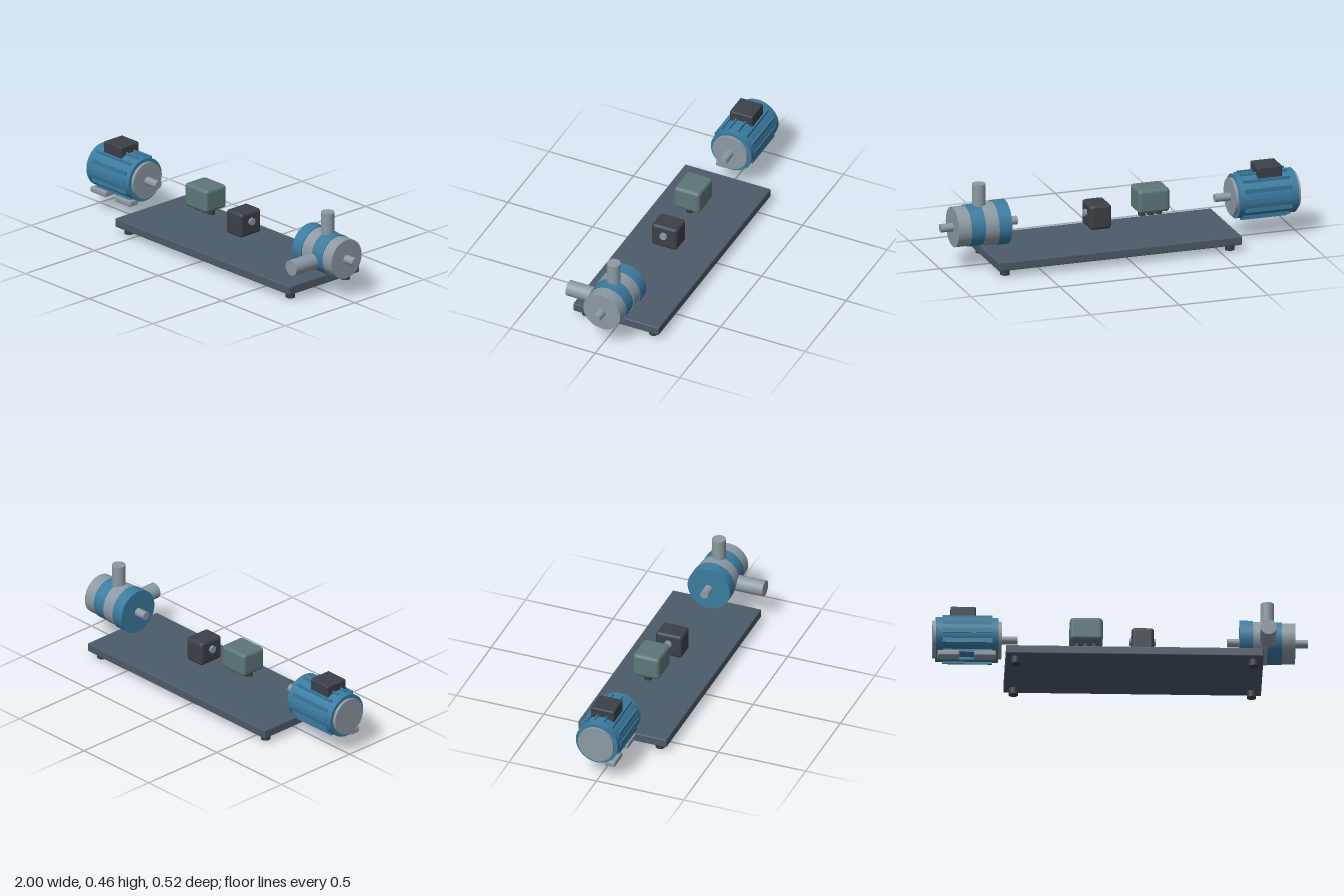
import * as THREE from 'three';
import { RoundedBoxGeometry } from 'three/addons/geometries/RoundedBoxGeometry.js';

const paint = (color) => new THREE.MeshStandardMaterial({ color });
const AXIS_Y = 0.228, AXIS_Z = -0.005;

export function createModel() {
  const model = new THREE.Group();
  const blue = paint(0x3a7ca0), steel = paint(0x8d9aa3), slate = paint(0x4d5a68);
  const dark = paint(0x3b4148), teal = paint(0x5e7779);

  const group = (name) => {
    const g = new THREE.Group();
    g.name = name;
    model.add(g);
    return g;
  };
  const add = (parent, name, geometry, material, x, y, z) => {
    const mesh = new THREE.Mesh(geometry, material);
    mesh.name = name;
    mesh.position.set(x, y, z);
    parent.add(mesh);
    return mesh;
  };
  // Rounded box given by its extents
  const box = (parent, name, mat, [x0, x1], [y0, y1], [z0, z1], r) =>
    add(parent, name, new RoundedBoxGeometry(x1 - x0, y1 - y0, z1 - z0, 3, r), mat,
      (x0 + x1) / 2, (y0 + y1) / 2, (z0 + z1) / 2);
  // Cylinder along the drive axis, from x0 to x1
  const discX = (parent, name, mat, r, x0, x1, z = AXIS_Z) => {
    const m = add(parent, name, new THREE.CylinderGeometry(r, r, x1 - x0, 48), mat, (x0 + x1) / 2, AXIS_Y, z);
    m.rotation.z = Math.PI / 2;
  };
  // Upright cylinder from y0 to y1
  const postY = (parent, name, mat, r, x, y0, y1, z) =>
    add(parent, name, new THREE.CylinderGeometry(r, r, y1 - y0, 32), mat, x, (y0 + y1) / 2, z);

  // Base plate on four short feet
  const base = group('base');
  box(base, 'basePlate', slate, [-0.615, 0.757], [0.037, 0.085], [-0.258, 0.248], 0.006);
  for (const sx of [-1, 1]) for (const sz of [-1, 1])
    postY(base, 'baseFoot', dark, 0.025, 0.071 + sx * 0.634, 0, 0.038, AXIS_Z + sz * 0.198);

  // Motor: body, end caps, shaft, fins, terminal box and mounting feet
  const motor = group('motor');
  discX(motor, 'motorBody', blue, 0.12, -0.983, -0.651);
  discX(motor, 'rearCap', steel, 0.101, -1.0, -0.98);
  discX(motor, 'frontCap', steel, 0.101, -0.655, -0.633);
  discX(motor, 'motorShaft', steel, 0.022, -0.64, -0.547);
  const finGeometry = new THREE.BoxGeometry(0.264, 0.025, 0.009);
  for (let i = 0; i < 14; i++) {
    const a = (i / 14) * Math.PI * 2;
    add(motor, 'coolingFin', finGeometry, blue, -0.814,
      AXIS_Y + 0.12 * Math.sin(a), AXIS_Z - 0.12 * Math.cos(a));
  }
  box(motor, 'terminalBox', dark, [-0.906, -0.77], [0.315, 0.394], [-0.072, 0.062], 0.008);
  for (const x of [-0.917, -0.722])
    box(motor, 'motorFoot', steel, [x - 0.059, x + 0.059], [0.092, 0.124], [0.033, 0.0945], 0.008);

  // Control box with cable glands underneath
  const control = group('controlBox');
  box(control, 'controlHousing', teal, [-0.27, -0.094], [0.208, 0.34], [-0.085, 0.067], 0.02);
  for (const i of [-1, 0, 1])
    postY(control, 'cableGland', dark, 0.02, -0.182 + i * 0.046, 0.18, 0.22, -0.009);

  // Coupling block with shaft stubs
  const coupling = group('coupling');
  box(coupling, 'couplingBlock', dark, [0.059, 0.179], [0.147, 0.283], [-0.083, 0.067], 0.018);
  discX(coupling, 'couplingShaft', steel, 0.02, 0.047, 0.191, -0.008);

  // Pump: stacked casing rings, through shaft and two ports
  const pump = group('pump');
  discX(pump, 'backCasing', blue, 0.121, 0.635, 0.705);
  discX(pump, 'backRing', steel, 0.116, 0.705, 0.781);
  discX(pump, 'frontRing', blue, 0.113, 0.781, 0.859);
  discX(pump, 'frontCover', steel, 0.109, 0.859, 0.931);
  discX(pump, 'pumpShaft', steel, 0.023, 0.57, 1.0);
  postY(pump, 'outletPipe', steel, 0.037, 0.783, 0.25, 0.456, AXIS_Z);
  const inlet = add(pump, 'inletPipe', new THREE.CylinderGeometry(0.043, 0.043, 0.22, 32), steel, 0.783, 0.204, 0.15);
  inlet.rotation.x = Math.PI / 2;

  return model;
}
